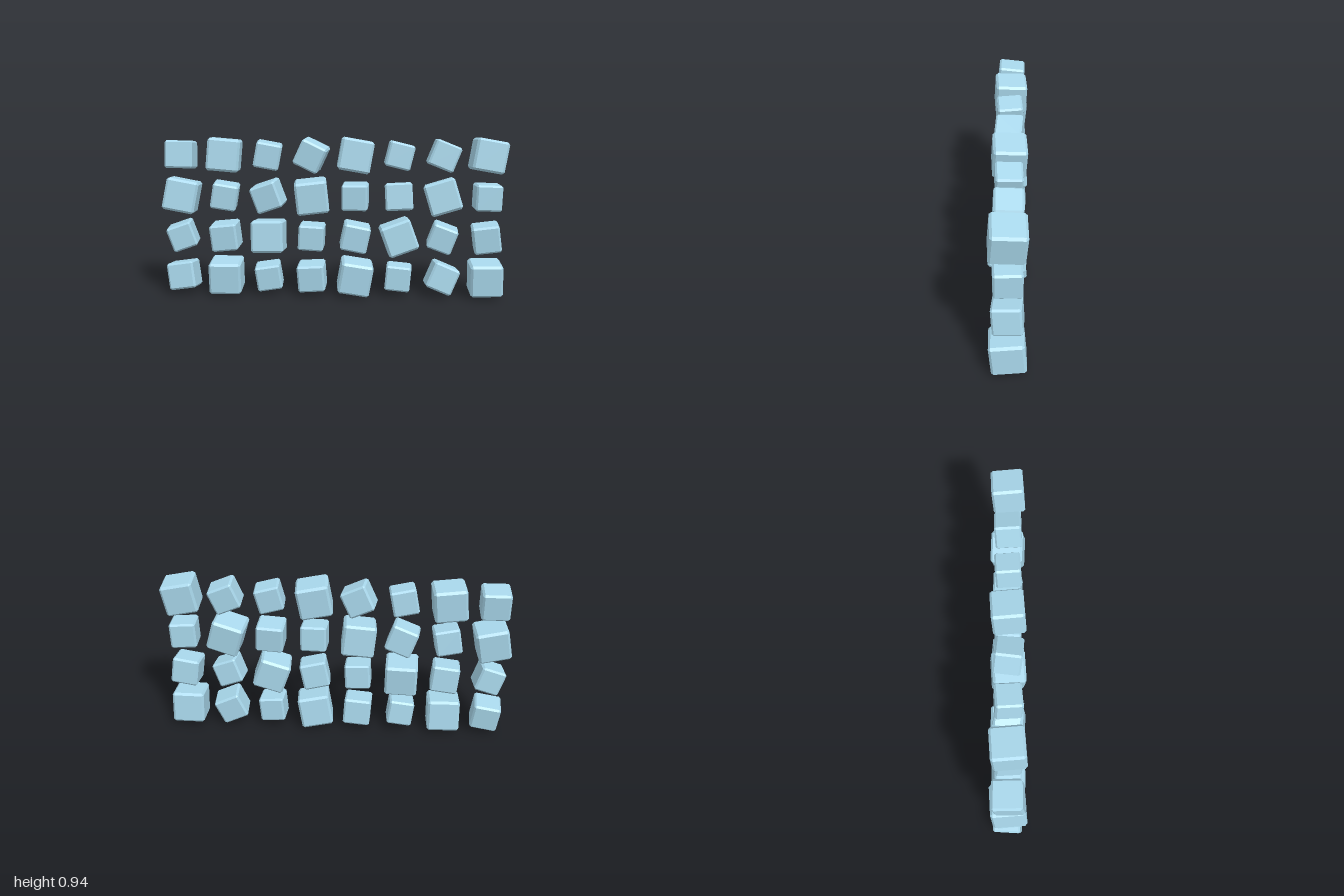
import * as THREE from 'three';
import { ConvexGeometry } from 'three/addons/geometries/ConvexGeometry.js';

const material = new THREE.MeshStandardMaterial({ color: 0xa9d8ec, flatShading: true });

// Cube with flat chamfers on every edge: three points at each corner
function chamferedCube(size, bevel) {
  const h = size / 2, k = h - bevel, points = [];
  for (const x of [-1, 1]) for (const y of [-1, 1]) for (const z of [-1, 1]) {
    points.push(
      new THREE.Vector3(x * h, y * k, z * k),
      new THREE.Vector3(x * k, y * h, z * k),
      new THREE.Vector3(x * k, y * k, z * h));
  }
  return new ConvexGeometry(points);
}

// Rows from bottom to top; each cube is [size, tilt x, turn y, roll z], angles in degrees
const rows = [
  [[.158, -5, -4, 8], [.187, 6, 1, 0], [.146, 5, 3, 8], [.158, 5, -2, 4],
   [.186, 5, 4, -10], [.146, 1, -3, -5], [.157, -3, 4, -23], [.187, 5, 1, 1]],
  [[.147, 2, 5, 19], [.157, 4, -2, 6], [.187, -5, -2, 1], [.147, 3, -2, -3],
   [.155, 4, 3, -12], [.182, -2, 4, 20], [.147, 3, -4, -20], [.157, 4, -3, 8]],
  [[.186, -4, 4, -11], [.148, 4, 4, -10], [.157, 4, -6, 20], [.187, 3, 4, 6],
   [.15, 3, -3, 0], [.158, -6, -2, 3], [.186, -5, -4, 17], [.15, 0, 3, -2]],
  [[.16, -6, 0, 0], [.187, -3, 4, -5], [.147, 3, 4, -11], [.155, 3, -6, -25],
   [.186, -3, 4, -10], [.145, -2, 3, -14], [.152, -3, 2, -22], [.184, -4, 3, -10]],
];

export function createModel() {
  const model = new THREE.Group();
  model.name = 'cubeWall';
  const rad = THREE.MathUtils.degToRad;
  rows.forEach((row, r) => {
    const rowGroup = new THREE.Group();
    rowGroup.name = `cubeRow${r + 1}`;
    rowGroup.position.y = 0.117 + r * 0.238;
    row.forEach(([size, rx, ry, rz], c) => {
      const cube = new THREE.Mesh(chamferedCube(size, size * 0.07), material);
      cube.name = `cube${c + 1}`;
      cube.position.x = (c - 3.5) * 0.2537;
      cube.rotation.set(rad(rx), rad(ry), rad(rz));
      rowGroup.add(cube);
    });
    model.add(rowGroup);
  });
  return model;
}
